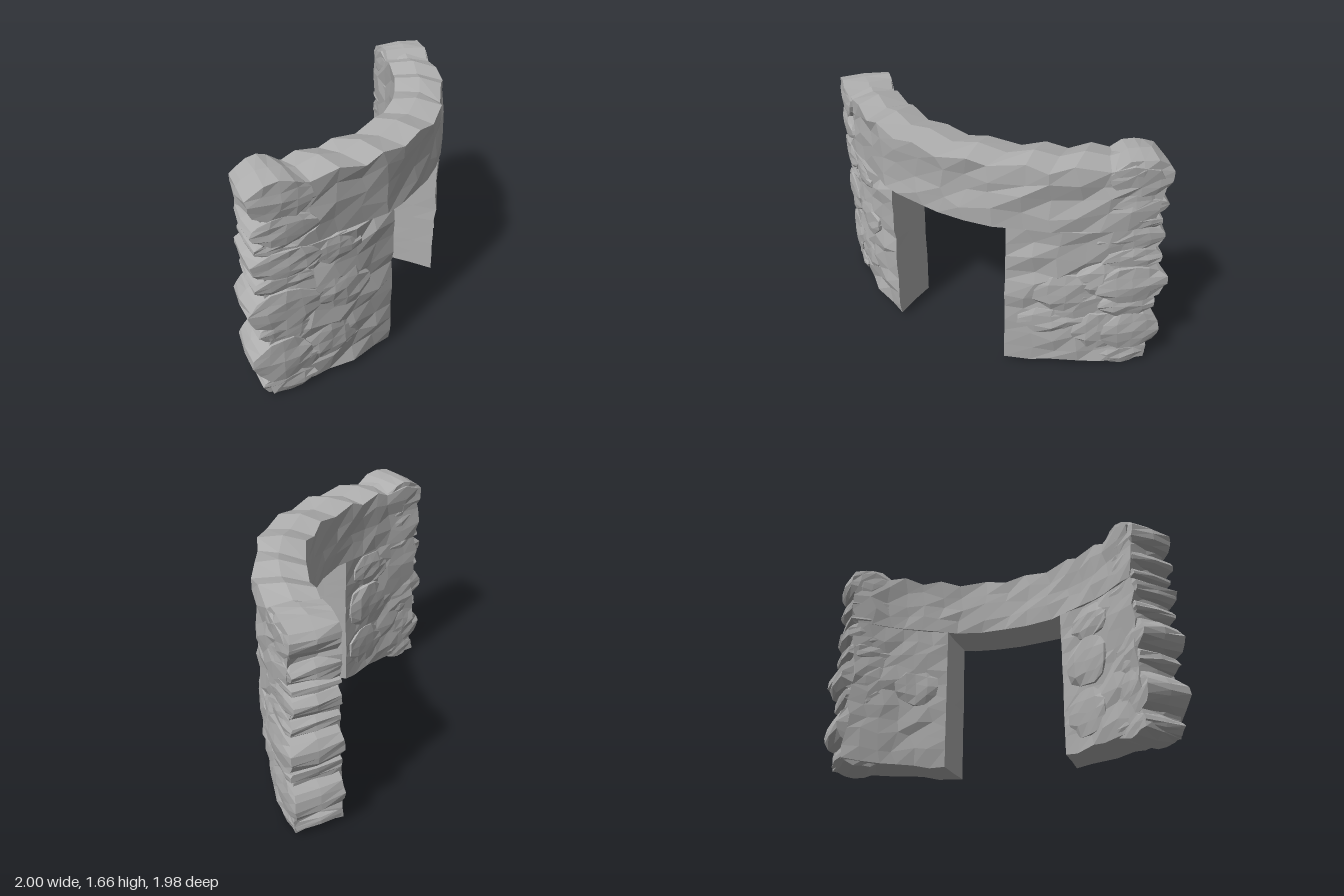
import * as THREE from 'three';

const DEG = Math.PI / 180;
const JAMB0 = 32, JAMB1 = 58; // doorway limits in degrees on the outer face
const DOOR_TOP = 1.15, WALL_TOP = 1.6;
const WALL0 = 3.6, WALL1 = 86.4;

const stoneGrey = new THREE.MeshStandardMaterial({ color: 0xadadad });
stoneGrey.name = 'stoneGrey';

// Repeatable noise in -1..1, keyed on position so box seams stay closed
function noise(a, b, c, seed) {
  const s = Math.sin(Math.round(a * 10) * 12.9898 + Math.round(b * 100) * 78.233 + Math.round(c * 10) * 37.719 + seed * 51.37) * 43758.5453;
  return (s - Math.floor(s)) * 2 - 1;
}

// Arc coordinates: angle in degrees, height, depth (0 = inner face, 1 = outer face)
function onArc(angle, y, depth) {
  const a = angle * DEG;
  const r = 1.61 + 0.11 * Math.sin(2 * a) ** 2 + depth * 0.345;
  return [-1 + r * Math.cos(a), y, -1 + r * Math.sin(a)];
}

// The doorway is wider on the inner face: degrees to add there
function splay(a) {
  if (a < JAMB0) return (-2.9 * a) / JAMB0;
  if (a > JAMB1) return (2.9 * (90 - a)) / (90 - JAMB1);
  return (2.9 * (a - 45)) / 13;
}

// Grid block whose vertices are moved by a rule, with faceted normals
function makeBlock(name, segments, rule) {
  const box = new THREE.BoxGeometry(1, 1, 1, ...segments);
  const pos = box.attributes.position;
  for (let i = 0; i < pos.count; i++) {
    pos.setXYZ(i, ...rule(0.5 - pos.getX(i), pos.getY(i) + 0.5, pos.getZ(i) + 0.5));
  }
  const geometry = box.toNonIndexed();
  geometry.computeVertexNormals();
  const mesh = new THREE.Mesh(geometry, stoneGrey);
  mesh.name = name;
  return mesh;
}

// Rough curved masonry between two angles and two heights
function wallSection(name, a0, a1, y0, y1, segments) {
  return makeBlock(name, segments, (u, v, t) => {
    const a = a0 + (a1 - a0) * u;
    const y = y0 + (y1 - y0) * v;
    const atJamb = Math.abs(a - JAMB0) < 0.01 || Math.abs(a - JAMB1) < 0.01;
    const face = t > 0.99 || t < 0.01;
    let depth = t, angle = a + splay(a) * (1 - t), height = y;
    if (face) {
      depth += noise(a, y, t, 1) * (t > 0.5 ? 0.055 : 0.04) * (atJamb ? 0.5 : 1);
      if (!atJamb) angle += noise(a, y, t, 2) * 1.1;
      if (Math.abs(y - DOOR_TOP) > 0.01) height += noise(a, y, t, 3) * 0.03;
    }
    if (y > WALL_TOP - 0.01) {
      // Eight rounded capstones
      const lobe = Math.abs(Math.sin(((a - WALL0) / (WALL1 - WALL0)) * 8 * Math.PI));
      height = WALL_TOP - 0.025 + 0.04 * lobe + (face ? 0 : 0.03);
    } else if (y < 0.05) {
      height = 0.04 + (atJamb ? 0 : noise(a, y, t, 5) * 0.015);
    }
    return onArc(angle, height, depth);
  });
}

// Tapered, chipped stone; pillow rounds its inner and outer faces
function stone(name, a0, a1, y0, y1, d0, d1, taper, pillow) {
  const mid = (y0 + y1) / 2, centre = (a0 + a1) / 2;
  return makeBlock(name, [4, 4, 2], (u, v, t) => {
    const x = u * 2 - 1, h = v * 2 - 1, d = t * 2 - 1;
    const edge = 1 - 0.06 * d * d;
    const chip = (seed) => noise(a0 + u * 9, y0 + v, t, seed);
    const px = x * (1 - 0.2 * Math.abs(h) ** 3) * edge + chip(6) * 0.05;
    const py = h * (1 - taper * Math.abs(x) ** 3) * edge + chip(7) * 0.08;
    const dome = 1 - pillow * (x * x + h * h) / 2;
    return onArc(
      centre + (px * (a1 - a0)) / 2,
      Math.max(0, mid + (py * (y1 - y0)) / 2),
      (d0 + d1) / 2 + (d * dome * (d1 - d0)) / 2 + chip(8) * 0.025
    );
  });
}

export function createModel() {
  const model = new THREE.Group();
  model.name = 'curvedStoneDoorway';

  // Piers either side of the doorway and the wall band across the top
  model.add(wallSection('leftPier', WALL0, JAMB0, 0.04, DOOR_TOP, [6, 10, 2]));
  model.add(wallSection('rightPier', JAMB1, WALL1, 0.04, DOOR_TOP, [6, 10, 2]));
  model.add(wallSection('upperWall', WALL0, WALL1, DOOR_TOP, WALL_TOP, [16, 4, 2]));

  // End stones: bottom, top, outer reach and inner limit in degrees, depth at each end
  const endRows = [
    [0.0, 0.19, 87.6, 76, 1.03, 1.04],
    [0.13, 0.48, 89.5, 77, 1.08, 1.11],
    [0.44, 0.64, 88.0, 76, 1.04, 1.09],
    [0.56, 0.87, 89.8, 75, 1.09, 1.15],
    [0.82, 1.0, 88.2, 76, 1.03, 1.07],
    [0.96, 1.17, 88.9, 74.5, 1.09, 1.03],
    [1.12, 1.24, 88.0, 77, 1.03, 1.01],
    [1.21, 1.41, 88.5, 75, 1.09, 1.02],
    [1.38, 1.65, 88.9, 76, 1.08, 1.03],
  ];
  const ends = new THREE.Group();
  ends.name = 'endStones';
  for (const [y0, y1, reach, inner, depthFront, depthSide] of endRows) {
    ends.add(stone('rightEndStone', inner, reach, y0, y1, 0, depthFront, 0.4, 0.1));
    ends.add(stone('leftEndStone', 90 - reach, 90 - inner, y0, y1, 0, depthSide, 0.35, 0.14));
  }
  model.add(ends);

  // Domed stones swelling out of the outer face
  const outer = new THREE.Group();
  outer.name = 'outerFaceStones';
  for (const [a0, a1, y0, y1, depth] of [
    [64, 76, 0.58, 0.87, 1.08],
    [67, 79, 0.18, 0.5, 1.06],
    [66, 77, 0.95, 1.16, 1.06],
    [14, 27, 0.5, 0.82, 1.08],
    [16, 30, 0.3, 0.52, 1.06],
    [8, 19, 0.62, 0.9, 1.08],
    [8, 19, 0.15, 0.48, 1.07],
  ]) outer.add(stone('outerFaceStone', a0, a1, y0, y1, 0.5, depth, 0.35, 0.35));
  model.add(outer);

  // Shallower stones on the inner face
  const inner = new THREE.Group();
  inner.name = 'innerFaceStones';
  for (const [a0, a1, y0, y1, depth] of [
    [62, 76, 0.48, 0.88, -0.12],
    [62, 75, 0.12, 0.48, -0.09],
    [64, 77, 0.86, 1.13, -0.07],
    [15, 27, 0.5, 0.85, -0.05],
  ]) inner.add(stone('innerFaceStone', a0, a1, y0, y1, depth, 0.5, 0.3, 0.35));
  model.add(inner);

  return model;
}
